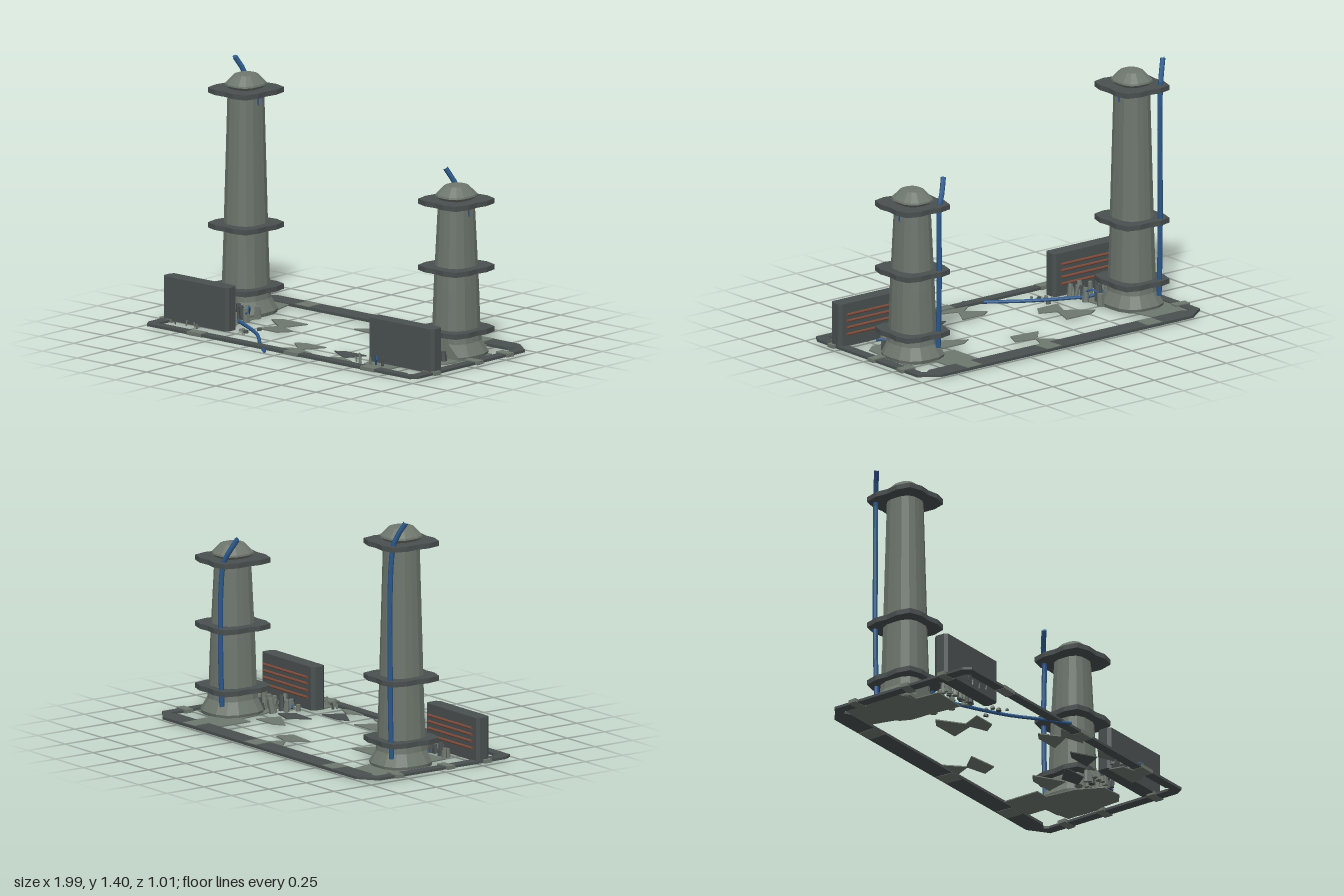
import * as THREE from 'three';

const mat = (name, color) => {
  const m = new THREE.MeshStandardMaterial({ color, flatShading: true });
  m.name = name;
  return m;
};

export function createModel() {
  const stone = mat('light stone', 0x6f786f);
  const dark = mat('dark stone', 0x4a5050);
  const blue = mat('blue cable', 0x2c588a);
  const copper = mat('copper', 0x7c4a3a);
  const root = new THREE.Group();
  root.name = 'ruinedCourt';

  let seed = 7;
  const rand = (a, b) => {
    seed = (seed * 16807) % 2147483647;
    return a + (b - a) * (seed / 2147483647);
  };
  const add = (parent, name, geo, material, x = 0, y = 0, z = 0) => {
    const m = new THREE.Mesh(geo, material);
    m.name = name;
    m.position.set(x, y, z);
    parent.add(m);
    return m;
  };
  // flat slab from an outline of [x, z] points
  const slab = (pts, h) => {
    const s = new THREE.Shape(pts.map(([x, z]) => new THREE.Vector2(x, -z)));
    return new THREE.ExtrudeGeometry(s, { depth: h, bevelEnabled: false }).rotateX(-Math.PI / 2);
  };
  // turned profile pushed towards a rounded square
  const squareLathe = (profile, zScale = 1.08, zMax = Infinity) => {
    const g = new THREE.LatheGeometry(profile.map(([r, y]) => new THREE.Vector2(r, y)), 16);
    const p = g.attributes.position;
    for (let i = 0; i < p.count; i++) {
      const x = p.getX(i), z = p.getZ(i), r = Math.hypot(x, z);
      if (r < 1e-6) continue;
      const k = 1 / Math.cbrt(Math.abs(x / r) ** 3 + Math.abs(z / r) ** 3);
      p.setXYZ(i, x * k, p.getY(i), Math.min(z * k * zScale, zMax));
    }
    g.computeVertexNormals();
    return g;
  };
  const cable = (parent, name, pts, r) => {
    const curve = new THREE.CatmullRomCurve3(pts.map((p) => new THREE.Vector3(...p)));
    add(parent, name, new THREE.TubeGeometry(curve, 20, r, 8), blue);
    const ends = [[0, -1], [1, 1]];
    for (const [t, s] of ends) {
      const cap = add(parent, name + 'End', new THREE.CircleGeometry(r, 8), blue);
      cap.position.copy(curve.getPoint(t));
      cap.lookAt(cap.position.clone().addScaledVector(curve.getTangent(t), s));
    }
  };

  // border: tapered bars and their clips
  const border = new THREE.Group();
  border.name = 'border';
  root.add(border);
  add(border, 'backBar', slab([[-0.95, -0.45], [-0.87, -0.51], [0.87, -0.51], [0.95, -0.45], [0.87, -0.4], [-0.87, -0.4]].reverse(), 0.015), dark, 0, 0.01);
  add(border, 'frontBar', slab([[-0.95, 0.465], [0.95, 0.465], [0.88, 0.41], [-0.88, 0.41]], 0.015), dark, 0, 0.01);
  for (const s of [-1, 1]) {
    add(border, 'sideBar', slab([[s * 0.98, -0.43], [s * 0.92, -0.47], [s * 0.87, -0.47], [s * 0.925, -0.4], [s * 0.92, 0.4], [s * 0.88, 0.45], [s * 0.95, 0.467], [s * 0.98, 0.42]], 0.014), dark, 0, 0.01);
    for (const z of [-0.3, s < 0 ? 0.04 : -0.05, 0.29]) {
      add(border, 'sideClip', new THREE.BoxGeometry(0.09, 0.02, 0.05), stone, s * 0.95, 0.019, z).rotation.y = rand(-0.1, 0.1);
    }
  }
  for (const x of [-0.61, 0.09, 0.64]) {
    add(border, 'backClip', new THREE.BoxGeometry(0.1, 0.02, 0.1), stone, x, 0.018, -0.455).rotation.y = rand(-0.12, 0.12);
    add(border, 'frontClip', new THREE.BoxGeometry(0.1, 0.02, 0.06), stone, x, 0.018, 0.438).rotation.y = rand(-0.08, 0.08);
  }

  // broken floor tiles
  const tiles = [
    [stone, [[-0.92, -0.4], [-0.7, -0.4], [-0.67, -0.28], [-0.62, -0.1], [-0.6, 0.13], [-0.81, 0.14], [-0.82, 0], [-0.92, -0.05]]],
    [stone, [[0.52, -0.4], [0.73, -0.4], [0.73, -0.28], [0.9, -0.25], [0.88, 0.1], [0.82, 0.15], [0.69, 0.14], [0.62, 0], [0.6, -0.18], [0.52, -0.18]]],
    [stone, [[0.52, 0.3], [0.73, 0.3], [0.73, 0.37], [0.67, 0.41], [0.54, 0.38]]],
    [stone, [[-0.05, -0.39], [0.09, -0.39], [0.05, -0.3], [0.17, -0.27], [0.13, -0.18], [-0.05, -0.2], [0.04, -0.3]]],
    [stone, [[-0.54, -0.08], [-0.48, -0.12], [-0.31, -0.12], [-0.36, 0.02], [-0.26, 0.06], [-0.31, 0.13], [-0.45, 0.13], [-0.4, 0.02]]],
    [stone, [[0.34, -0.08], [0.4, -0.12], [0.55, -0.12], [0.51, 0.02]]],
    [dark, [[0.47, 0.02], [0.58, 0.05], [0.52, 0.13], [0.37, 0.12]]],
    [stone, [[-0.07, 0.26], [-0.02, 0.225], [0.13, 0.225], [0.06, 0.35], [0.17, 0.385], [0.12, 0.41], [-0.05, 0.4], [0.03, 0.34]]],
    [dark, [[0.22, 0.26], [0.28, 0.225], [0.42, 0.225], [0.36, 0.34]]],
    [stone, [[0.36, 0.345], [0.46, 0.385], [0.42, 0.41], [0.28, 0.4]]],
  ];
  for (const [m, pts] of tiles) add(root, 'floorTile', slab(pts, 0.006), m, 0, 0.014);

  // collar: square with bulging sides
  const collarOutline = [];
  for (let i = 0; i < 16; i++) {
    const a = (i / 16) * Math.PI * 2 + Math.PI / 4;
    const t = Math.abs(Math.sin(2 * a));
    const k = (0.153 + 0.047 * t ** 2.2);
    collarOutline.push([Math.cos(a) * k, Math.sin(a) * k * 1.05]);
  }

  // towers
  const tower = (name, x, top) => {
    const g = new THREE.Group();
    g.name = name;
    g.position.set(x, 0, -0.12);
    root.add(g);
    add(g, 'base', squareLathe([[0, 0.015], [0.145, 0.015], [0.15, 0.035], [0.118, 0.1], [0.113, 0.15], [0, 0.15]], 1.08, 0.118), stone);
    add(g, 'shaft', squareLathe([[0.112, 0.15], [0.105, 0.4], [0.085, top]]), stone);
    for (const y of [0.158, 0.5, top]) add(g, 'collar', slab(collarOutline, 0.028), dark, 0, y - 0.014).rotation.y = -0.05;
    add(g, 'cap', squareLathe([[0.08, 0.012], [0.098, 0.03], [0.096, 0.04], [0.056, 0.088], [0, 0.09]], 1.1), stone, 0, top, 0);
    add(g, 'danglingWire', new THREE.CylinderGeometry(0.005, 0.003, 0.07, 6), blue, 0.09, top - 0.04, 0);
    const cx = x < 0 ? -0.085 : -0.075;
    cable(g, 'towerCable', [[-0.15, top + 0.145, -0.08], [-0.11, top + 0.06, -0.115], [cx - 0.01, top, -0.127], [cx, top - 0.15, -0.135], [cx, 0.6, -0.138], [cx, 0.3, -0.135], [cx, 0.08, -0.128]], 0.014);
  };
  tower('tallTower', -0.76, 1.245);
  tower('shortTower', 0.76, 0.865);

  // front panels with copper rods on the back
  for (const s of [-1, 1]) {
    const g = new THREE.Group();
    g.name = 'panel';
    g.position.set(s * 0.742, 0, 0.272);
    root.add(g);
    add(g, 'wall', slab([[-0.235, -0.025], [-0.22, -0.043], [0.22, -0.043], [0.235, -0.025], [0.235, 0.025], [0.22, 0.043], [-0.22, 0.043], [-0.235, 0.025]].reverse(), 0.24), dark, 0, 0.02);
    for (const y of [0.09, 0.128, 0.165, 0.2]) {
      add(g, 'rod', new THREE.CylinderGeometry(0.008, 0.008, 0.39, 8).rotateZ(Math.PI / 2), copper, 0, y, -0.052);
    }
  }

  // rubble: leaning stubs and pebbles
  const rubble = (count, x0, x1, z0, z1, hMin, hMax, r) => {
    for (let i = 0; i < count; i++) {
      const h = rand(hMin, hMax), w = rand(0.6, 1) * r;
      const m = add(root, 'rubble', new THREE.CylinderGeometry(w * 0.75, w, h, 6), i % 4 ? stone : dark, rand(x0, x1), 0.018 + h / 2, rand(z0, z1));
      m.rotation.set(rand(-0.15, 0.15), rand(0, 3), rand(-0.15, 0.15));
    }
  };
  rubble(12, -0.72, -0.58, -0.06, 0.08, 0.04, 0.1, 0.024);
  rubble(14, -0.79, -0.57, 0.13, 0.2, 0.04, 0.08, 0.018);
  rubble(12, 0.6, 0.82, 0.02, 0.09, 0.04, 0.1, 0.024);
  rubble(12, 0.56, 0.74, 0.1, 0.19, 0.03, 0.08, 0.018);
  rubble(6, 0.47, 0.7, 0.34, 0.4, 0.02, 0.05, 0.01);
  rubble(5, -0.53, -0.38, 0.16, 0.32, 0.01, 0.018, 0.016);
  rubble(4, -0.88, -0.65, 0.33, 0.37, 0.015, 0.035, 0.007);

  // loose cables on the ground
  cable(root, 'groundCable', [[-0.76, 0.06, 0.055], [-0.66, 0.035, 0.09], [-0.55, 0.03, 0.14], [-0.34, 0.025, 0.26], [-0.2, 0.016, 0.39], [-0.08, 0.01, 0.49]], 0.01);
  cable(root, 'looseWire', [[0.61, 0.02, 0.36], [0.63, 0.07, 0.38], [0.67, 0.07, 0.42]], 0.006);
  cable(root, 'looseWire', [[0.76, 0.03, 0.02], [0.8, 0.07, 0.06], [0.83, 0.065, 0.1]], 0.006);
  cable(root, 'looseWire', [[0.59, 0.03, 0.15], [0.62, 0.07, 0.18], [0.64, 0.06, 0.2]], 0.006);
  cable(root, 'looseWire', [[-0.65, 0.03, -0.02], [-0.61, 0.09, 0.02], [-0.58, 0.07, 0.08]], 0.006);

  return root;
}
